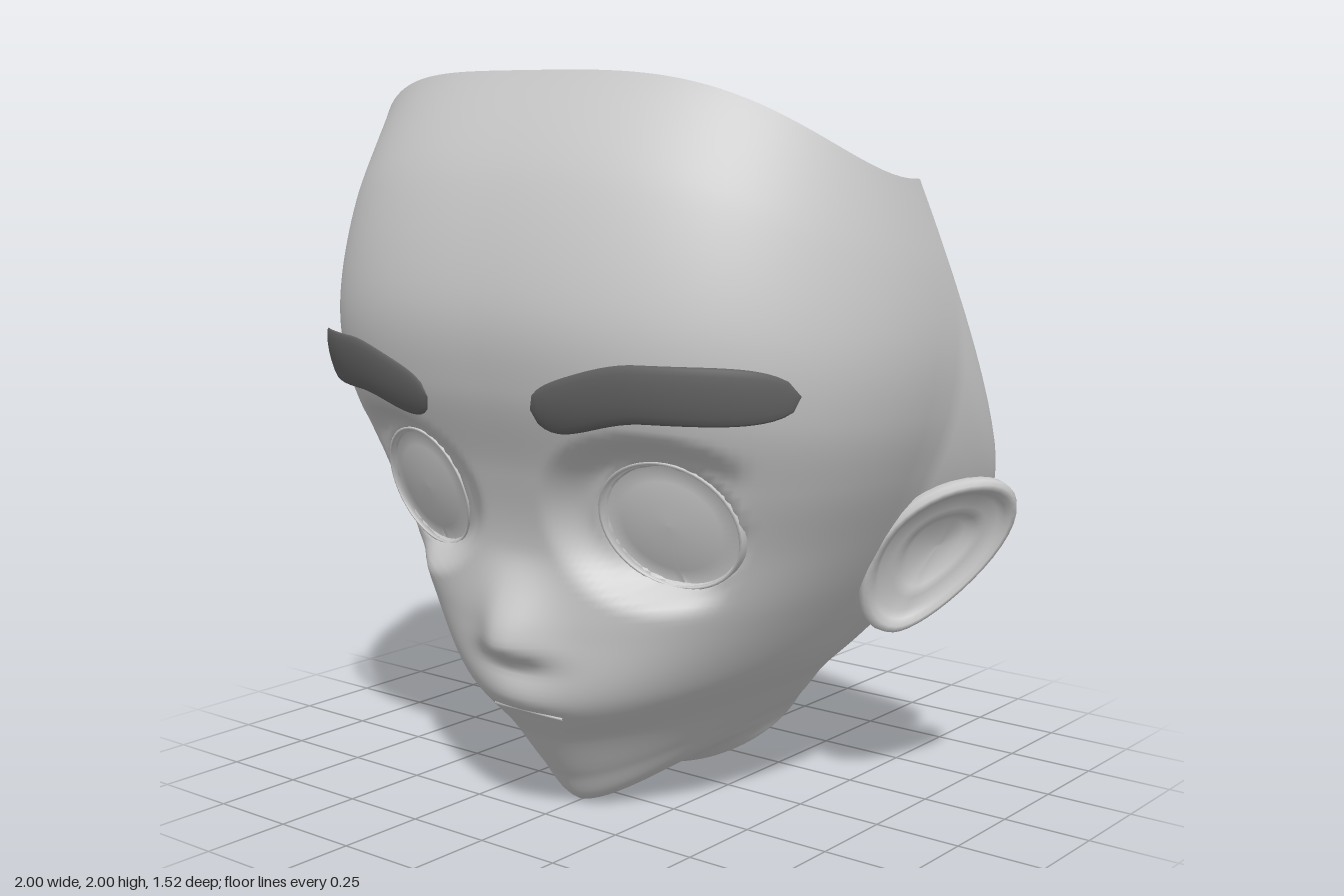
import * as THREE from 'three';

const { abs, sin, cos, pow, hypot, PI } = Math;
const smooth = (x, a, b) => THREE.MathUtils.smoothstep(x, a, b);
const lerp = THREE.MathUtils.lerp;
const skin = new THREE.MeshStandardMaterial({ color: 0xcccccc, side: THREE.DoubleSide });
const hair = new THREE.MeshStandardMaterial({ color: 0x666666, side: THREE.DoubleSide });

// Loops from the cut skull rim down to the neck opening:
// front y, front z, half width, side y, side z, back y, back z, front squareness, back pinch
const LOOPS = [
  [2.0, 0.55, 0.865, 1.73, 0.04, 0.63, -0.76, 0.9, 1.5],
  [1.73, 0.69, 0.91, 1.5, -0.04, 0.585, -0.72, 0.82, 1.45],
  [1.43, 0.76, 0.92, 1.3, -0.07, 0.55, -0.69, 0.78, 1.4],
  [1.2, 0.735, 0.89, 1.12, -0.08, 0.52, -0.66, 0.75, 1.35],
  [0.97, 0.65, 0.83, 0.96, -0.08, 0.49, -0.635, 0.74, 1.3],
  [0.77, 0.6, 0.75, 0.8, -0.1, 0.46, -0.61, 0.76, 1.22],
  [0.55, 0.605, 0.65, 0.62, -0.1, 0.43, -0.585, 0.81, 1.15],
  [0.35, 0.6, 0.535, 0.44, -0.12, 0.4, -0.565, 0.89, 1.1],
  [0.21, 0.5, 0.43, 0.32, -0.14, 0.37, -0.55, 0.95, 1.05],
  [0.09, 0.42, 0.37, 0.25, -0.18, 0.35, -0.54, 0.97, 1],
  [0.0, 0.34, 0.33, 0.21, -0.2, 0.335, -0.535, 1, 1],
  [0.06, 0.17, 0.305, 0.185, -0.23, 0.32, -0.53, 1, 1],
  [0.035, 0.04, 0.29, 0.172, -0.245, 0.31, -0.53, 1, 1],
];
const LAST = LOOPS.length - 1;

// Catmull-Rom blend of the loop parameters at v in 0..1
function loopAt(v) {
  const s = v * LAST, i = Math.min(Math.floor(s), LAST - 1), t = s - i;
  const row = k => LOOPS[Math.max(0, Math.min(LAST, k))];
  return LOOPS[0].map((_, c) => {
    const [p, q, r, w] = [row(i - 1)[c], row(i)[c], row(i + 1)[c], row(i + 2)[c]];
    return q + 0.5 * t * (r - p + t * (2 * p - 5 * q + 4 * r - w + t * (3 * (q - r) + w - p)));
  });
}

// Smooth head surface: a runs around from the front, v from rim to neck
function basePoint(a, v) {
  const [yF, zF, W, yS, zS, yB, zB, eF, eB] = loopAt(v);
  const s = abs(sin(a)), c = abs(cos(a)), side = sin(a) < 0 ? -1 : 1;
  if (cos(a) >= 0) {
    const f = lerp(1 - pow(s, 1.5 + 1.9 * pow(1 - v, 3)), c, smooth(v, 0.82, 1));
    return new THREE.Vector3(side * W * pow(s, eF), yS + (yF - yS) * f, zS + (zF - zS) * pow(c, eF));
  }
  const pinch = lerp(1.8 - 0.8 * eB, eB, smooth(c, 0.4, 0.8));
  const drop = lerp(c * (1.6 - 0.6 * c), c, v);
  const swell = 1 + 0.32 * c * (1 - c) * pow(1 - v, 5);
  return new THREE.Vector3(side * W * swell * pow(s, pinch), yS + (yB - yS) * drop, zS + (zB - zS) * c);
}

// Depth of the smooth face at a given x > 0 and y
function faceZ(x, y) {
  let a = 0.5, v = 0.3;
  for (let k = 0; k < 8; k++) {
    let lo = 0, hi = 0.7;
    for (let n = 0; n < 18; n++) { v = (lo + hi) / 2; if (basePoint(a, v).y > y) lo = v; else hi = v; }
    lo = 0; hi = PI / 2;
    for (let n = 0; n < 18; n++) { a = (lo + hi) / 2; if (basePoint(a, v).x < x) lo = a; else hi = a; }
  }
  return basePoint(a, v).z;
}

const EYE = { x: 0.43, y: 0.86, rx: 0.19, ry: 0.172 };
const eyePlane = (x, y) => 0.495 + 0.32 * (y - EYE.y) - 0.24 * (x - EYE.x);

// Eye sockets, nose and lips
function sculpt(p) {
  if (p.z < 0.05) return p;
  const x = abs(p.x), y = p.y;
  const mask = 1 - smooth(hypot((x - 0.45) / 0.36, (y - 0.87) / 0.25), 0.66, 1);
  p.z -= mask * Math.max(0, p.z - eyePlane(x, y));
  p.z -= 0.03 * (1 - smooth(hypot((x - EYE.x) / EYE.rx, (y - EYE.y) / EYE.ry), 0.85, 1));
  p.z += 0.08 * Math.exp(-pow(x / 0.11, 2)) * smooth(y, 0.43, 0.51) * (1 - smooth(y, 0.52, 0.76));
  p.z += 0.018 * Math.exp(-pow(x / 0.12, 2)) * smooth(y, 0.3, 0.35) * (1 - smooth(y, 0.36, 0.46));
  return p;
}

// Skin over rows of points, each row a closed loop
function loft(rows, cols, point) {
  const pos = [], idx = [];
  for (let i = 0; i <= rows; i++)
    for (let j = 0; j < cols; j++) pos.push(...point(i / rows, (j / cols) * 2 * PI).toArray());
  for (let i = 0; i < rows; i++)
    for (let j = 0; j < cols; j++) {
      const a = i * cols + j, b = i * cols + (j + 1) % cols;
      idx.push(a, a + cols, b, b, a + cols, b + cols);
    }
  const g = new THREE.BufferGeometry();
  g.setAttribute('position', new THREE.Float32BufferAttribute(pos, 3));
  g.setIndex(idx);
  g.computeVertexNormals();
  return g;
}

function part(name, geometry, material = skin) {
  const m = new THREE.Mesh(geometry, material);
  m.name = name;
  return m;
}

// Head shell, with columns gathered towards the front where the nose is
function shellGeometry() {
  return loft(140, 176, (v, u) => sculpt(basePoint(u - 0.33 * sin(2 * u), v)));
}

// Eyebrow: rounded band on the forehead, its outer end standing clear of the skin
function browGeometry() {
  return loft(40, 16, (t, f) => {
    const x = 0.18 + 0.635 * t;
    const round = pow(Math.max(0, 1 - pow(abs(2 * t - 1), 6)), 0.5);
    const y = 1.165 + 0.06 * smooth(t, 0, 0.5) - 0.074 * round * cos(f);
    return new THREE.Vector3(x, y, faceZ(x, y) + 0.02 + 0.045 * pow(t, 3) + 0.012 * sin(f) * round);
  });
}

// Ear: cupped rings of [scale, lift] on a plane flaring outward, its front edge sunk into the head
function earGeometry() {
  const rings = [[0.45, -0.075], [0.75, -0.065], [0.9, -0.05], [0.98, -0.025], [1, 0], [0.97, 0.015],
    [0.9, 0.014], [0.83, 0], [0.76, -0.016], [0.6, -0.02], [0.48, -0.03], [0.36, -0.05], [0, -0.055]];
  const n = new THREE.Vector3(1, -0.5, 0.8).normalize();
  return loft(rings.length - 1, 40, (t, f) => {
    const [s, lift] = rings[Math.round(t * (rings.length - 1))];
    const z = -0.175 - 0.145 * sin(f) * (0.87 + 0.2 * cos(f)) * s + 0.02 * (1 - cos(f)) * s;
    const y = 0.72 + 0.222 * cos(f) * s;
    const x = 0.78 + 0.8 * (-0.04 - z) + 0.5 * (y - 0.82) - 0.035 * Math.max(0, -sin(f)) * s;
    return new THREE.Vector3(x, y, z).addScaledVector(n, lift);
  });
}

// Eye: shallow disc with a raised rim, sheared onto the socket plane
function eyeGeometry() {
  const profile = [[0, -0.05], [0.95, -0.05], [1, -0.03], [1.01, 0.003], [0.97, 0.004],
    [0.94, -0.014], [0.7, -0.004], [0.35, 0.003], [0, 0.005]];
  const g = new THREE.LatheGeometry(profile.map(([r, h]) => new THREE.Vector2(r, h)), 48);
  g.rotateX(PI / 2).scale(EYE.rx, EYE.ry, 1).translate(EYE.x, EYE.y, 0);
  const p = g.attributes.position;
  for (let i = 0; i < p.count; i++) p.setZ(i, p.getZ(i) + eyePlane(p.getX(i), p.getY(i)));
  g.computeVertexNormals();
  return g;
}

export function createModel() {
  const model = new THREE.Group();
  model.name = 'head';
  model.add(part('faceShell', shellGeometry()));

  // Paired features
  const brow = browGeometry(), ear = earGeometry(), eye = eyeGeometry();
  for (const [label, sx] of [['left', 1], ['right', -1]]) {
    const half = new THREE.Group();
    half.name = label + 'Features';
    half.scale.x = sx;
    half.add(part(label + 'Eyebrow', brow, hair), part(label + 'Ear', ear), part(label + 'Eye', eye));
    model.add(half);
  }

  // Mouth line, gently turned down at the corners
  const lip = [];
  for (let i = -4; i <= 4; i++) {
    const x = i * 0.03, y = 0.32 - 0.8 * x * x;
    lip.push(new THREE.Vector3(x, y, faceZ(abs(x) + 0.001, y)));
  }
  model.add(part('mouthLine', new THREE.TubeGeometry(new THREE.CatmullRomCurve3(lip), 32, 0.006, 8)));

  // Mouth pocket and tongue inside the head
  const pocket = part('mouthPocket', new THREE.SphereGeometry(1, 32, 20));
  pocket.scale.set(0.18, 0.125, 0.165);
  pocket.position.set(0, 0.36, 0.38);
  const tongue = part('tongue', new THREE.CapsuleGeometry(0.115, 0.25, 10, 28).rotateX(PI / 2));
  tongue.scale.y = 0.55;
  tongue.position.set(0, 0.37, 0.05);
  model.add(pocket, tongue);
  return model;
}
